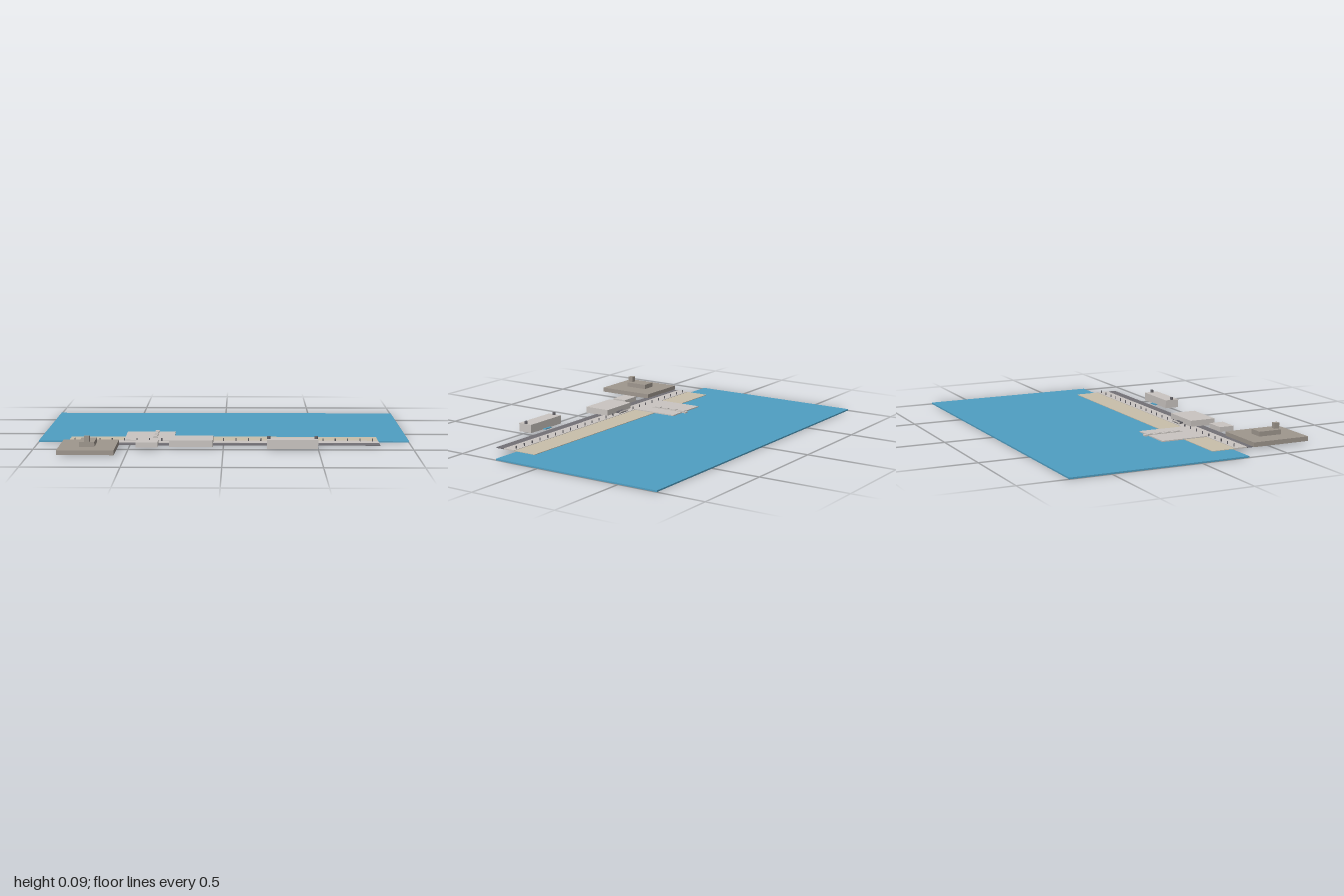
import * as THREE from 'three';

const mat = (name, color) => {
  const m = new THREE.MeshStandardMaterial({ color });
  m.name = name;
  return m;
};

export function createModel() {
  const model = new THREE.Group();
  model.name = 'waterfront';

  const water = mat('water blue', 0x4f9fc3);
  const sand = mat('sand', 0xc9bfab);
  const concrete = mat('pale concrete', 0xcac5c1);
  const asphalt = mat('asphalt', 0x727076);
  const stone = mat('brown stone', 0x9f978e);
  const metal = mat('dark metal', 0x66646a);

  // Box given by its extents along x, y and z
  const block = (name, material, [x0, x1], [y0, y1], [z0, z1], parent = model) => {
    const mesh = new THREE.Mesh(new THREE.BoxGeometry(x1 - x0, y1 - y0, z1 - z0), material);
    mesh.position.set((x0 + x1) / 2, (y0 + y1) / 2, (z0 + z1) / 2);
    mesh.name = name;
    parent.add(mesh);
    return mesh;
  };
  const group = (name) => {
    const g = new THREE.Group();
    g.name = name;
    model.add(g);
    return g;
  };

  // Sea and shore strips
  block('sea', water, [-1, 1], [0, 0.008], [-0.727, 0.273]);
  block('beach', sand, [-0.835, 0.832], [0.007, 0.011], [0.153, 0.29]);
  block('promenade', concrete, [-0.835, 0.832], [0.007, 0.013], [0.288, 0.36]);
  block('road', asphalt, [-0.835, 0.832], [0.007, 0.012], [0.36, 0.41]);

  // Lamp posts along the promenade
  const lamps = group('lampPosts');
  const postGeometry = new THREE.CylinderGeometry(0.003, 0.003, 0.016, 8);
  for (let i = 0; i < 25; i++) {
    const post = new THREE.Mesh(postGeometry, metal);
    post.position.set(-0.8 + i * (1.6 / 24), 0.02, 0.302);
    post.name = 'lampPost';
    lamps.add(post);
  }

  // Broad pier with a narrow landing and a row of low sheds
  const pier = group('pier');
  block('pierDeck', concrete, [-0.537, -0.27], [0.01, 0.016], [0.02, 0.29], pier);
  block('landing', concrete, [-0.384, -0.36], [0.011, 0.019], [-0.005, 0.225], pier);
  for (let i = 0; i < 4; i++) {
    const z = 0.01 + i * 0.055;
    block('shed', concrete, [-0.382, -0.362], [0.019, 0.023], [z, z + 0.035], pier);
  }

  // Fort: wide terrace, keep and tower
  const fort = group('fort');
  block('terrace', stone, [-0.85, -0.555], [0.01, 0.035], [0.392, 0.725], fort);
  block('keep', stone, [-0.744, -0.664], [0.035, 0.061], [0.49, 0.622], fort);
  block('tower', stone, [-0.716, -0.689], [0.035, 0.092], [0.6, 0.629], fort);

  // Small kiosk behind the road
  block('kiosk', concrete, [-0.46, -0.345], [0.01, 0.037], [0.413, 0.498]);

  // Hall with a recessed entrance towards the sea
  const hall = group('hall');
  block('hallBody', concrete, [-0.285, -0.055], [0.01, 0.046], [0.33, 0.48], hall);
  block('porchRoof', metal, [-0.195, -0.14], [0.013, 0.022], [0.301, 0.33], hall);
  block('porchLintel', concrete, [-0.21, -0.13], [0.02, 0.025], [0.294, 0.302], hall);
  for (const x of [-0.207, -0.133]) {
    block('porchPillar', concrete, [x - 0.003, x + 0.003], [0.013, 0.02], [0.295, 0.301], hall);
  }

  // Long house with two round turrets and a pool
  const house = group('longHouse');
  block('houseBody', concrete, [0.23, 0.497], [0.01, 0.057], [0.447, 0.53], house);
  for (const x of [0.239, 0.488]) {
    const turret = new THREE.Mesh(new THREE.CylinderGeometry(0.009, 0.009, 0.014, 12), metal);
    turret.position.set(x, 0.064, 0.489);
    turret.name = 'turret';
    house.add(turret);
  }
  block('pool', water, [0.335, 0.392], [0.01, 0.014], [0.431, 0.447], house);

  return model;
}
